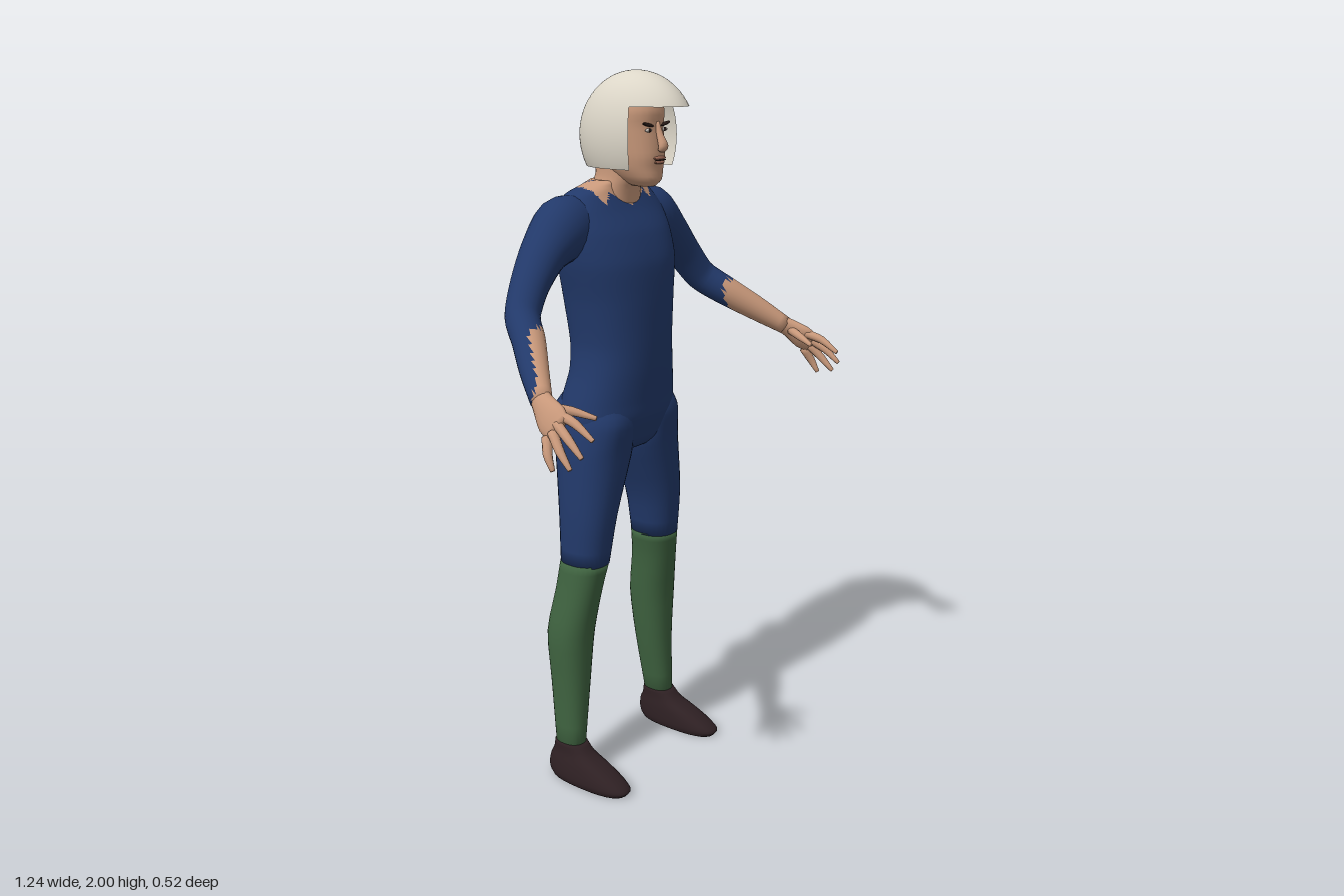
import * as THREE from 'three';

const mat = (name, color, side = THREE.FrontSide) => {
  const m = new THREE.MeshStandardMaterial({ color, side });
  m.name = name;
  return m;
};
const blue = mat('blueSuit', 0x22396a);
const green = mat('greenStocking', 0x3f6340);
const brown = mat('darkShoe', 0x2e2023);
const skin = mat('skin', 0xc8987a);
const ivory = mat('ivoryHelmet', 0xdcd6c8, THREE.DoubleSide);
const dark = mat('darkBrow', 0x2a1c18);
const lip = mat('lip', 0xa06c58);
const white = mat('eyeWhite', 0xd8d0c8);

// Resample rows of numbers with a smooth curve through each column
function smooth(rows, k) {
  const curves = rows[0].map((_, c) =>
    new THREE.CatmullRomCurve3(rows.map((r) => new THREE.Vector3(r[c], 0, 0)), false, 'catmullrom', 0.4));
  const n = (rows.length - 1) * k;
  return Array.from({ length: n + 1 }, (_, i) => curves.map((c) => c.getPoint(i / n).x));
}

// Skin a list of rings, close both ends; pick(centroid) gives the material index of a face
function loft(name, rings, mats, pick = () => 0) {
  const n = rings[0].length, verts = rings.flat(), faces = [];
  for (let i = 0; i < rings.length - 1; i++) {
    for (let j = 0; j < n; j++) {
      const a = i * n + j, b = i * n + (j + 1) % n;
      faces.push([a, b, b + n], [a, b + n, a + n]);
    }
  }
  [[0, 1], [rings.length - 1, 0]].forEach(([r, flip]) => {
    const mid = new THREE.Vector3();
    rings[r].forEach((p) => mid.addScaledVector(p, 1 / n));
    const c = verts.push(mid) - 1;
    for (let j = 0; j < n; j++) {
      const a = r * n + j, b = r * n + (j + 1) % n;
      faces.push(flip ? [c, b, a] : [c, a, b]);
    }
  });
  // Turn the faces outwards
  let volume = 0;
  const cross = new THREE.Vector3();
  faces.forEach(([a, b, c]) => { volume += verts[a].dot(cross.crossVectors(verts[b], verts[c])); });
  if (volume < 0) faces.forEach((f) => f.reverse());

  const list = Array.isArray(mats) ? mats : [mats];
  const buckets = list.map(() => []);
  faces.forEach((f) => {
    const c = new THREE.Vector3();
    f.forEach((v) => c.addScaledVector(verts[v], 1 / 3));
    buckets[pick(c)].push(...f);
  });
  const g = new THREE.BufferGeometry().setFromPoints(verts);
  g.setIndex(buckets.flat());
  g.computeVertexNormals();
  let start = 0;
  buckets.forEach((b, i) => { g.addGroup(start, b.length, i); start += b.length; });
  const mesh = new THREE.Mesh(g, list.length > 1 ? list : list[0]);
  mesh.name = name;
  return mesh;
}

// Horizontal sections: [y, centre x, half width, front z, back z]
function stack(name, rows, mats, { s = 1, k = 3, n = 28, e = 2.3, pick } = {}) {
  const pw = (v) => Math.sign(v) * Math.abs(v) ** (2 / e);
  const rings = smooth(rows, k).map(([y, cx, hw, zf, zb]) => Array.from({ length: n }, (_, j) => {
    const a = (j / n) * Math.PI * 2;
    return new THREE.Vector3(s * (cx + hw * pw(Math.cos(a))), y, (zf + zb) / 2 + ((zf - zb) / 2) * pw(Math.sin(a)));
  }));
  return loft(name, rings, mats, pick);
}

// Sections along a path: [x, y, z, radius along the hint, radius across it]
function limb(name, rows, mats, { s = 1, k = 3, n = 16, hint = [0, 0, 1], pick } = {}) {
  const pts = smooth(rows, k);
  const P = pts.map(([x, y, z]) => new THREE.Vector3(x, y, z));
  const h = new THREE.Vector3(...hint);
  const rings = pts.map(([, , , ru, rv], i) => {
    const T = P[Math.min(i + 1, P.length - 1)].clone().sub(P[Math.max(i - 1, 0)]).normalize();
    const U = h.clone().addScaledVector(T, -h.dot(T)).normalize();
    const V = new THREE.Vector3().crossVectors(T, U);
    return Array.from({ length: n }, (_, j) => {
      const a = (j / n) * Math.PI * 2;
      const p = P[i].clone().addScaledVector(U, ru * Math.cos(a)).addScaledVector(V, rv * Math.sin(a));
      p.x *= s;
      return p;
    });
  });
  return loft(name, rings, mats, pick);
}

function blob(name, material, [x, y, z], [sx, sy, sz], tilt = 0) {
  const m = new THREE.Mesh(new THREE.SphereGeometry(1, 16, 10), material);
  m.name = name;
  m.position.set(x, y, z);
  m.scale.set(sx, sy, sz);
  m.rotation.z = tilt;
  return m;
}

// Zigzag neckline: skin above it, suit below it
function neckline(c) {
  const a = Math.abs(c.x);
  if (a > 0.115) return 0;
  const line = a < 0.07 ? 1.648 + 0.5 * a : 1.653 + 1.6 * Math.abs(a - 0.095);
  return c.y > line + (c.z < -0.14 ? 0.025 : 0) ? 1 : 0;
}

function createHead() {
  const head = new THREE.Group();
  head.name = 'head';
  head.add(stack('neck', [
    [1.62, 0, 0.075, -0.07, -0.19], [1.69, 0, 0.068, -0.06, -0.185],
    [1.73, 0, 0.058, -0.045, -0.175], [1.8, 0, 0.058, -0.04, -0.175]], skin));
  head.add(stack('face', [
    [1.702, 0, 0.024, 0.005, -0.06], [1.72, 0, 0.045, 0.021, -0.1], [1.75, 0, 0.062, 0.022, -0.15],
    [1.78, 0, 0.07, 0.026, -0.18], [1.82, 0, 0.075, 0.023, -0.2], [1.86, 0, 0.078, 0.019, -0.205],
    [1.9, 0, 0.077, 0.022, -0.195], [1.95, 0, 0.058, 0, -0.15], [1.975, 0, 0.03, -0.03, -0.1]], skin));
  head.add(limb('nose', [
    [0, 1.868, 0.014, 0.008, 0.008], [0, 1.835, 0.026, 0.009, 0.01],
    [0, 1.808, 0.037, 0.012, 0.015], [0, 1.796, 0.03, 0.008, 0.012]], skin));
  head.add(blob('upperLip', lip, [0, 1.777, 0.025], [0.026, 0.005, 0.007]));
  head.add(blob('lowerLip', lip, [0, 1.766, 0.024], [0.021, 0.005, 0.008]));
  head.add(blob('mouthLine', dark, [0, 1.7715, 0.0285], [0.025, 0.0016, 0.004]));
  for (const s of [1, -1]) {
    head.add(blob('eye', white, [s * 0.034, 1.849, 0.014], [0.014, 0.005, 0.005]));
    head.add(blob('iris', dark, [s * 0.033, 1.849, 0.017], [0.005, 0.005, 0.004]));
    head.add(blob('eyebrow', dark, [s * 0.036, 1.863, 0.014], [0.024, 0.0045, 0.007], s * 0.2));
    head.add(blob('ear', skin, [s * 0.081, 1.825, -0.05], [0.012, 0.034, 0.024]));
  }
  // Open-faced helmet: full cap with a brim, then sides and back
  const helmet = new THREE.Group();
  helmet.name = 'helmet';
  const brim = Math.acos(0.08 / 0.17), rim = Math.acos(-0.08 / 0.17), open = Math.acos(0.3);
  const shells = {
    helmetCap: new THREE.SphereGeometry(1, 48, 12, 0, Math.PI * 2, 0, brim),
    helmetSides: new THREE.SphereGeometry(1, 40, 10, Math.PI / 2 + open, 2 * (Math.PI - open), brim, rim - brim),
  };
  for (const [name, g] of Object.entries(shells)) {
    g.scale(0.112, 0.17, 0.175).translate(0, 1.83, -0.05);
    const m = new THREE.Mesh(g, ivory);
    m.name = name;
    helmet.add(m);
  }
  head.add(helmet);
  return head;
}

function createArm(s) {
  const arm = new THREE.Group();
  arm.name = s > 0 ? 'leftArm' : 'rightArm';
  // Sleeve covers the outer side to the wrist, the inner forearm is bare
  const bare = (c) => {
    const inner = -0.77 * (s * c.x - 0.555) + 0.64 * (c.z - 0.08);
    return c.z > 0.075 || (c.z > -0.035 && inner > -0.004) ? 1 : 0;
  };
  arm.add(limb('sleeve', [
    [0.11, 1.605, -0.16, 0.07, 0.075], [0.19, 1.592, -0.155, 0.078, 0.088], [0.27, 1.542, -0.15, 0.064, 0.062],
    [0.34, 1.47, -0.138, 0.052, 0.05], [0.395, 1.4, -0.115, 0.046, 0.046], [0.44, 1.352, -0.055, 0.043, 0.043],
    [0.5, 1.298, 0.015, 0.037, 0.036], [0.555, 1.245, 0.085, 0.028, 0.026]],
  [blue, skin], { s, k: 4, n: 24, pick: bare }));
  const hint = [-0.3, 0.75, 0.5];
  arm.add(limb('palm', [
    [0.545, 1.253, 0.07, 0.026, 0.024], [0.562, 1.236, 0.1, 0.033, 0.02],
    [0.575, 1.212, 0.135, 0.044, 0.018], [0.585, 1.196, 0.163, 0.038, 0.012]], skin, { s, hint }));
  // Knuckle, middle joint, tip
  const fingers = {
    indexFinger: [[0.568, 1.225, 0.155], [0.572, 1.212, 0.205], [0.573, 1.18, 0.258]],
    middleFinger: [[0.583, 1.206, 0.158], [0.597, 1.178, 0.205], [0.602, 1.142, 0.248]],
    ringFinger: [[0.591, 1.187, 0.15], [0.607, 1.15, 0.185], [0.614, 1.112, 0.222]],
    littleFinger: [[0.592, 1.172, 0.133], [0.61, 1.135, 0.15], [0.616, 1.1, 0.17]],
    thumb: [[0.553, 1.232, 0.11], [0.525, 1.225, 0.155], [0.5, 1.21, 0.21]],
  };
  const radius = [0.013, 0.0115, 0.006];
  for (const [name, joints] of Object.entries(fingers)) {
    arm.add(limb(name, joints.map((p, i) => [...p, radius[i], radius[i]]), skin, { s, n: 10, hint }));
  }
  return arm;
}

function createLeg(s) {
  const leg = new THREE.Group();
  leg.name = s > 0 ? 'leftLeg' : 'rightLeg';
  leg.add(stack('trouserLeg', [
    [1.13, 0.095, 0.07, -0.03, -0.225], [1.07, 0.1, 0.093, -0.006, -0.262], [1.01, 0.106, 0.1, -0.014, -0.24],
    [0.96, 0.111, 0.102, -0.02, -0.222], [0.8, 0.15, 0.075, -0.03, -0.192],
    [0.66, 0.163, 0.062, -0.045, -0.183]], blue, { s }));
  leg.add(stack('stocking', [
    [0.665, 0.163, 0.063, -0.045, -0.184], [0.58, 0.177, 0.06, -0.06, -0.192], [0.45, 0.193, 0.064, -0.08, -0.211],
    [0.3, 0.199, 0.052, -0.088, -0.2], [0.1, 0.214, 0.034, -0.09, -0.18]], green, { s }));
  leg.add(stack('shoe', [
    [0, 0.22, 0.046, 0.07, -0.19], [0.015, 0.22, 0.05, 0.08, -0.2], [0.035, 0.219, 0.049, 0.055, -0.204],
    [0.06, 0.217, 0.045, 0.005, -0.2], [0.085, 0.215, 0.039, -0.055, -0.188],
    [0.113, 0.214, 0.037, -0.087, -0.183]], brown, { s, e: 2.5 }));
  return leg;
}

export function createModel() {
  const model = new THREE.Group();
  model.name = 'standingFigure';
  model.add(stack('torso', [
    [0.975, 0, 0.13, -0.045, -0.19], [1, 0, 0.18, -0.025, -0.215], [1.07, 0, 0.192, 0, -0.245],
    [1.12, 0, 0.184, 0.005, -0.245], [1.2, 0, 0.165, 0.012, -0.226], [1.28, 0, 0.156, 0.015, -0.228],
    [1.4, 0, 0.168, 0.015, -0.244], [1.5, 0, 0.188, 0.008, -0.25], [1.58, 0, 0.195, -0.02, -0.25],
    [1.64, 0, 0.19, -0.058, -0.24], [1.68, 0, 0.155, -0.08, -0.22], [1.7, 0, 0.105, -0.082, -0.2],
    [1.715, 0, 0.07, -0.075, -0.185]], [blue, skin], { k: 6, n: 88, pick: neckline }));
  model.add(createHead());
  for (const s of [1, -1]) model.add(createArm(s), createLeg(s));
  return model;
}
